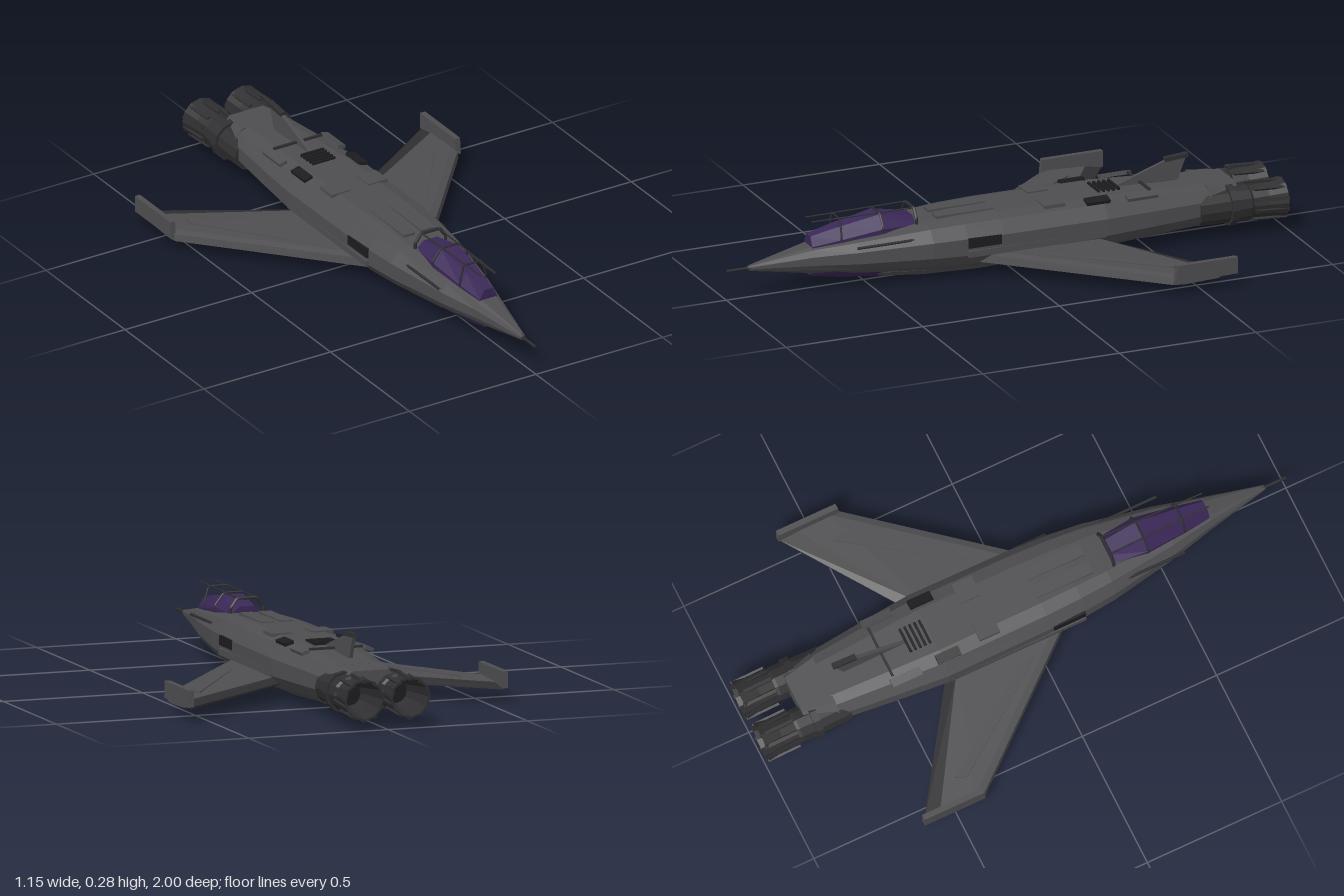
import * as THREE from 'three';

const mat = (name, color) => {
  const m = new THREE.MeshStandardMaterial({ color });
  m.name = name;
  return m;
};

// Faceted copy of a closed geometry, turned so its faces look outward
function facet(geo) {
  const g = geo.index ? geo.toNonIndexed() : geo;
  const p = g.attributes.position;
  const a = new THREE.Vector3(), b = new THREE.Vector3(), c = new THREE.Vector3();
  let volume = 0;
  for (let i = 0; i < p.count; i += 3) {
    a.fromBufferAttribute(p, i);
    b.fromBufferAttribute(p, i + 1);
    c.fromBufferAttribute(p, i + 2);
    volume += a.dot(b.cross(c));
  }
  if (volume < 0) {
    for (let i = 0; i < p.count; i += 3) {
      b.fromBufferAttribute(p, i + 1);
      c.fromBufferAttribute(p, i + 2);
      p.setXYZ(i + 1, c.x, c.y, c.z);
      p.setXYZ(i + 2, b.x, b.y, b.z);
    }
  }
  g.computeVertexNormals();
  return g;
}

// Skin over equal-length rings of [x, y, z], closed at both ends
function loft(rings) {
  const n = rings[0].length, index = [];
  rings.slice(1).forEach((_, r) => {
    for (let i = 0; i < n; i++) {
      const a = r * n + i, b = r * n + (i + 1) % n;
      index.push(a, b, a + n, b, b + n, a + n);
    }
  });
  const last = (rings.length - 1) * n;
  for (let i = 1; i < n - 1; i++) index.push(0, i + 1, i, last, last + i, last + i + 1);
  const g = new THREE.BufferGeometry();
  g.setAttribute('position', new THREE.Float32BufferAttribute(rings.flat(2), 3));
  g.setIndex(index);
  return facet(g);
}

// Rings from [z, halfWidth, yBottom, yTop] and a half outline in fractions
function hull(sections, half) {
  const outline = [...half, ...half.slice().reverse().map(([u, v]) => [-u, v])];
  return loft(sections.map(([z, w, y0, y1]) => outline.map(([u, v]) => [u * w, y0 + v * (y1 - y0), z])));
}

export function createModel() {
  const root = new THREE.Group();
  root.name = 'jet';
  const grey = mat('hull grey', 0x4e4e51);
  const dark = mat('dark grey', 0x2f2f31);
  const black = mat('vent black', 0x1d1d1f);
  const violet = mat('canopy violet', 0x3a2757);

  const add = (name, geo, material, parent = root) => {
    const m = new THREE.Mesh(geo, material);
    m.name = name;
    parent.add(m);
    return m;
  };
  const box = (name, size, pos, material, rotZ = 0) => {
    const m = add(name, new THREE.BoxGeometry(...size), material);
    m.position.set(...pos);
    m.rotation.z = rotZ;
    return m;
  };
  const rod = (name, from, to, r, material) => {
    const curve = new THREE.LineCurve3(new THREE.Vector3(...from), new THREE.Vector3(...to));
    return add(name, new THREE.TubeGeometry(curve, 1, r, 6), material);
  };

  // Fuselage
  add('fuselage', hull([
    [0.92, 0.008, 0.095, 0.112], [0.7, 0.055, 0.062, 0.155], [0.55, 0.092, 0.045, 0.172],
    [0.3, 0.138, 0.025, 0.197], [0.18, 0.15, 0.018, 0.203], [0.05, 0.157, 0.014, 0.205],
    [-0.33, 0.16, 0.018, 0.203], [-0.5, 0.145, 0.026, 0.195], [-0.73, 0.122, 0.036, 0.183],
  ], [[0.45, 0], [0.8, 0.17], [1, 0.38], [1, 0.7], [0.78, 0.93], [0.5, 1]]), grey);
  add('rearDeck', hull([[-0.72, 0.118, 0.1, 0.183], [-0.835, 0.088, 0.12, 0.177]],
    [[1, 0], [1, 0.6], [0.75, 1]]), grey);
  add('keel', hull([
    [0.46, 0.045, 0.02, 0.05], [0.3, 0.065, 0.007, 0.05], [0.1, 0.072, 0.001, 0.05],
    [-0.3, 0.065, 0.012, 0.05], [-0.7, 0.05, 0.03, 0.06],
  ], [[0.75, 0], [1, 0.45], [1, 1]]), grey);
  add('noseCap', new THREE.CylinderGeometry(0.008, 0.014, 0.04, 8).rotateX(Math.PI / 2).translate(0, 0.104, 0.905), dark);
  rod('noseProbe', [0, 0.104, 0.9], [0, 0.104, 1], 0.005, dark);

  // Upper and lower glazing
  const glass = [[1, 0], [1, 0.45], [0.5, 1]];
  add('canopy', hull([[0.7, 0.034, 0.13, 0.19], [0.6, 0.05, 0.14, 0.212],
    [0.455, 0.066, 0.16, 0.238], [0.33, 0.054, 0.17, 0.215]], glass), violet);
  add('bellyGlass', hull([[0.7, 0.034, 0.1, 0.05], [0.6, 0.052, 0.09, 0.034],
    [0.455, 0.064, 0.08, 0.019], [0.36, 0.055, 0.07, 0.019]], glass), violet);

  // Canopy cage
  for (const [z, w, y] of [[0.6, 0.05, 0.17], [0.455, 0.067, 0.185], [0.33, 0.06, 0.19]]) {
    const path = new THREE.CurvePath();
    const pts = [[-w, y], [-w, y + 0.02], [-0.036, 0.244], [0.036, 0.244], [w, y + 0.02], [w, y]]
      .map(([x, h]) => new THREE.Vector3(x, h, z));
    pts.slice(1).forEach((p, i) => path.add(new THREE.LineCurve3(pts[i], p)));
    add('canopyHoop', new THREE.TubeGeometry(path, 20, z < 0.4 ? 0.006 : 0.0035, 5), dark);
  }

  // Nozzle profile: [radius, distance back], outside then inside
  const nozzle = [[0, 0.68], [0.058, 0.68], [0.06, 0.79], [0.071, 0.79], [0.071, 0.815], [0.062, 0.815],
    [0.062, 0.865], [0.055, 0.875], [0.06, 0.93], [0.071, 0.995], [0.064, 0.995], [0.05, 0.9], [0.04, 0.85], [0, 0.85]]
    .map(([r, y]) => new THREE.Vector2(r, y));

  for (const s of [1, -1]) {
    const side = s > 0 ? 'left' : 'right';
    // Wing: a blunt leading edge, a dark flap and an upright end plate
    const at = (x, z, y) => [s * x, y, z];
    const wingRing = (x, le, te, y0, y1) => [at(x, le, y0 + 0.004), at(x, le - 0.005, y1 - 0.006),
      at(x, le - 0.04, y1), at(x, te, y1 - 0.005), at(x, te, y0 + 0.005), at(x, le - 0.04, y0)];
    const flapRing = (x, z0, z1, y0, y1) => [at(x, z0, y1), at(x, z0, y0), at(x, z1, y0 + 0.006), at(x, z1, y0 + 0.012)];
    add(side + 'Wing', loft([wingRing(0.1, 0.155, -0.27, 0.047, 0.086), wingRing(0.56, -0.39, -0.56, 0.034, 0.068)]), grey);
    add(side + 'Flap', loft([flapRing(0.13, -0.285, -0.33, 0.052, 0.08), flapRing(0.558, -0.555, -0.618, 0.039, 0.062)]), dark);
    const plate = (x) => [at(x, -0.395, 0.05), at(x, -0.4, 0.108), at(x, -0.622, 0.108), at(x, -0.622, 0.05)];
    add(side + 'EndPlate', loft([plate(0.553), plate(0.573)]), grey);
    const panel = (dy) => [at(0.2, -0.03, 0.079 + dy), at(0.215, -0.1, 0.078 + dy),
      at(0.47, -0.46, 0.069 + dy), at(0.485, -0.42, 0.069 + dy)];
    add(side + 'WingPanel', loft([panel(0), panel(0.004)]), grey);

    // Engine
    const engine = new THREE.Group();
    engine.name = side + 'Engine';
    engine.position.set(s * 0.083, 0.104, 0);
    root.add(engine);
    add('nozzle', facet(new THREE.LatheGeometry(nozzle, 12).rotateX(-Math.PI / 2)), dark, engine);
    add('nozzleThroat', new THREE.CircleGeometry(0.041, 12).rotateY(Math.PI).translate(0, 0, -0.852), black, engine);
    for (let i = 0; i < 10; i++) {
      const petal = add('nozzlePetal', new THREE.BoxGeometry(0.012, 0.008, 0.12), dark, engine);
      const a = i * Math.PI / 5;
      petal.position.set(Math.sin(a) * 0.066, Math.cos(a) * 0.066, -0.938);
      petal.rotation.set(-0.06, 0, -a);
    }

    // Side details
    rod(side + 'SideProbe', [s * 0.11, 0.158, 0.36], [s * 0.11, 0.158, 0.57], 0.005, dark);
    box(side + 'SideVent', [0.012, 0.034, 0.12], [s * 0.152, 0.133, 0.12], black);
    box(side + 'Strake', [0.02, 0.022, 0.5], [s * 0.15, 0.095, -0.07], grey);
    box(side + 'DeckVent', [0.034, 0.014, 0.085], [s * 0.108, 0.199, -0.31], black, -s * 0.25);
    box(side + 'DeckPanel', [0.075, 0.012, 0.075], [s * 0.073, 0.203, -0.155], grey);
    box(side + 'DeckEdgeBlock', [0.03, 0.012, 0.11], [s * 0.115, 0.195, -0.47], grey, -s * 0.3);
    box(side + 'ForwardPanel', [0.045, 0.01, 0.21], [s * 0.035, 0.204, 0.15], grey);
    rod(side + 'CanopyRail', [s * 0.034, 0.244, 0.33], [s * 0.026, 0.244, 0.7], 0.0028, dark);
  }

  // Tail fin with its cap and cross bar
  const fin = (x, w = 1) => [[x, 0.19, -0.39], [x, 0.265, -0.61], [x, 0.268, -0.68], [x, 0.19, -0.65]];
  add('tailFin', loft([fin(-0.006), fin(0.006)]), grey);
  box('finCap', [0.02, 0.014, 0.085], [0, 0.27, -0.645], dark).rotation.x = 0.08;
  box('crossBar', [0.19, 0.008, 0.008], [0, 0.204, -0.51], dark);

  // Spine slats
  for (let i = 0; i < 5; i++) box('spineSlat', [0.09, 0.01, 0.008], [0, 0.205, -0.345 - i * 0.018], black);

  return root;
}
